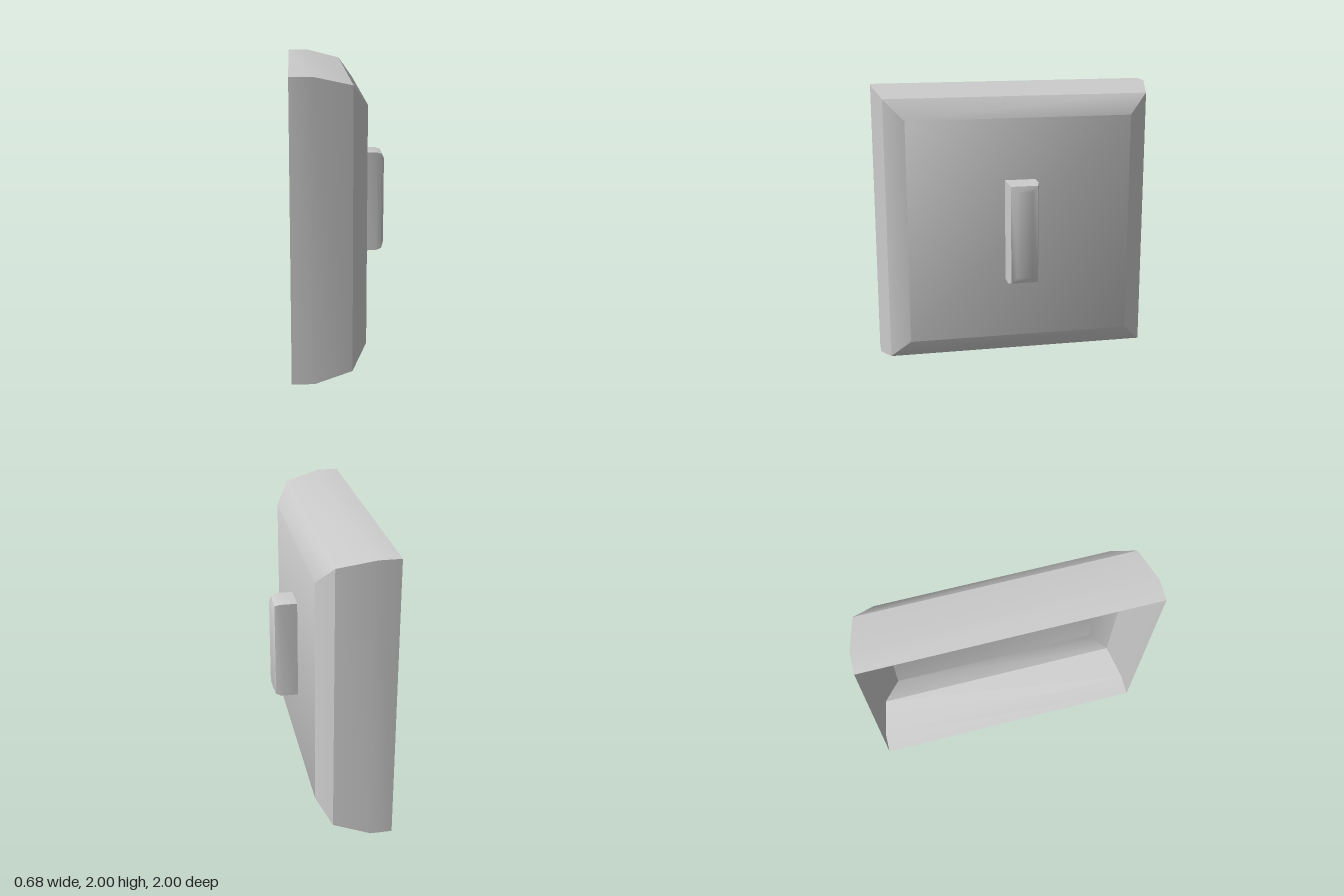
import * as THREE from 'three';
import { toCreasedNormals } from 'three/addons/utils/BufferGeometryUtils.js';

// Stacks rectangular rings [x, halfHeight, halfDepth] along +x, closes the last one, leaves the first open
function ringShell(name, rings) {
  const corners = [[-1, 1], [-1, -1], [1, -1], [1, 1]]; // y, z signs
  const positions = [];
  const index = [];
  rings.forEach(([x, hy, hz], i) => {
    corners.forEach(([sy, sz], j) => {
      positions.push(x, 1 + sy * hy, sz * hz);
      if (i === rings.length - 1) return;
      const a = i * 4 + j;
      const b = i * 4 + (j + 1) % 4;
      index.push(a, b, b + 4, a, b + 4, a + 4);
    });
  });
  const last = (rings.length - 1) * 4;
  index.push(last, last + 1, last + 2, last, last + 2, last + 3);

  const geometry = new THREE.BufferGeometry();
  geometry.setAttribute('position', new THREE.Float32BufferAttribute(positions, 3));
  geometry.setIndex(index);
  const material = new THREE.MeshStandardMaterial({ color: 0xcccccc, side: THREE.DoubleSide });
  // Bevels blend into the face; outer edges and side corners stay sharp
  const mesh = new THREE.Mesh(toCreasedNormals(geometry, THREE.MathUtils.degToRad(38)), material);
  mesh.name = name;
  return mesh;
}

export function createModel() {
  const group = new THREE.Group();
  group.name = 'squarePanelWithGrip';

  // Hollow square panel, open at the back
  group.add(ringShell('panel', [
    [-0.34, 1, 1],
    [-0.19, 1, 1],
    [0.06, 0.94, 0.94],
    [0.16, 0.8, 0.8],
  ]));

  // Upright grip in the middle of the face
  group.add(ringShell('grip', [
    [0.16, 0.363, 0.108],
    [0.28, 0.363, 0.108],
    [0.32, 0.35, 0.095],
    [0.338, 0.31, 0.055],
  ]));

  return group;
}
